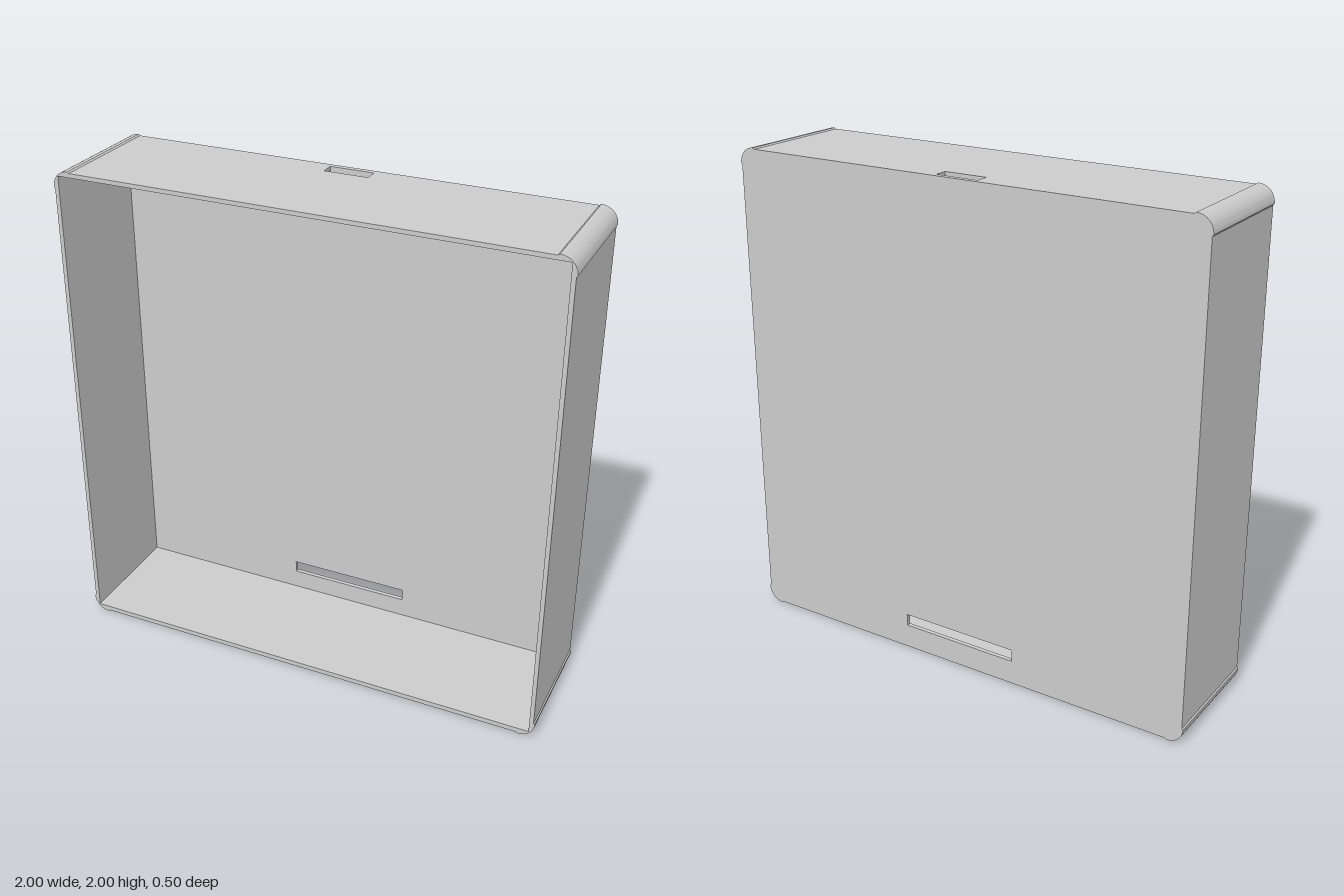
import * as THREE from 'three';
import { toCreasedNormals } from 'three/addons/utils/BufferGeometryUtils.js';

const OUT = 0.995;       // outer wall face (corners stand slightly proud, at 1)
const IN = 0.978;        // inner wall face
const R = 0.065;         // corner radius
const BACK = -0.25, FRONT = 0.25, INNER_BACK = -0.232;
const SPLIT = 0.9;       // half width of the separate top plate

// One rounded corner, turned k quarter turns counter-clockwise
function corner(k) {
  const c = 1 - R;
  const pts = [[OUT, 0.928]];
  for (let i = 0; i <= 12; i++) {
    const a = (i / 12) * Math.PI / 2;
    pts.push([c + R * Math.cos(a), c + R * Math.sin(a)]);
  }
  pts.push([0.928, OUT]);
  return pts.map(([x, y]) =>
    new THREE.Vector2(x, y).rotateAround(new THREE.Vector2(), k * Math.PI / 2));
}

function rectHole(x0, x1, y0, y1) {
  return new THREE.Path([[x0, y0], [x0, y1], [x1, y1], [x1, y0]]
    .map(([x, y]) => new THREE.Vector2(x, y)));
}

function extrude(shape, depth) {
  const g = new THREE.ExtrudeGeometry(shape, { depth, bevelEnabled: false });
  return toCreasedNormals(g, Math.PI / 6);
}

export function createModel() {
  const group = new THREE.Group();
  const material = new THREE.MeshStandardMaterial({ color: 0xcccccc });
  const add = (name, geometry) => {
    const mesh = new THREE.Mesh(geometry, material);
    mesh.name = name;
    group.add(mesh);
    return mesh;
  };
  const v = (x, y) => new THREE.Vector2(x, y);

  // Back panel with the long slot near the bottom
  const panel = new THREE.Shape([0, 1, 2, 3].flatMap(corner));
  panel.holes.push(rectHole(-0.255, 0.252, -0.895, -0.845));
  add('backPanel', extrude(panel, INNER_BACK - BACK)).position.set(0, 1, BACK);

  // Side and bottom walls with all four rounded corners, open at the top middle
  const walls = new THREE.Shape([
    v(-SPLIT, OUT), ...[1, 2, 3, 0].flatMap(corner), v(SPLIT, OUT),
    v(SPLIT, IN), v(IN, IN), v(IN, -0.975), v(-IN, -0.975), v(-IN, IN), v(-SPLIT, IN),
  ]);
  add('sideWalls', extrude(walls, FRONT - INNER_BACK)).position.set(0, 1, INNER_BACK);

  // Top wall with the small slot next to the back panel
  const top = new THREE.Shape([
    v(-SPLIT, -FRONT), v(SPLIT, -FRONT), v(SPLIT, -INNER_BACK), v(-SPLIT, -INNER_BACK),
  ]);
  top.holes.push(rectHole(-0.09, 0.087, 0.174, 0.228));
  const topWall = add('topWall', extrude(top, OUT - IN));
  topWall.rotation.x = -Math.PI / 2;
  topWall.position.y = 1 + IN;

  return group;
}
